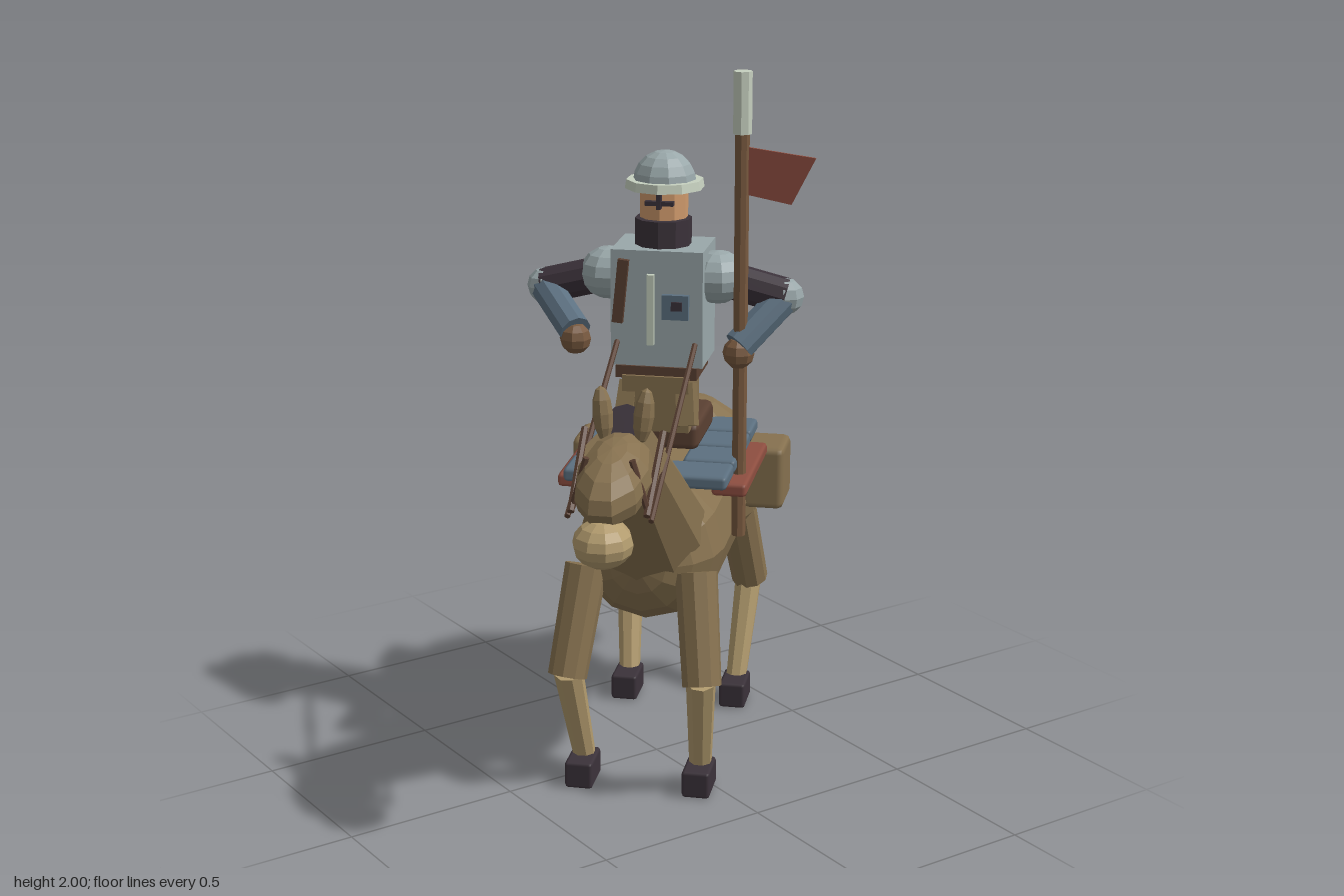
import * as THREE from 'three';
import { RoundedBoxGeometry } from 'three/addons/geometries/RoundedBoxGeometry.js';

const mat = (name, color) => {
  const m = new THREE.MeshStandardMaterial({ color });
  m.name = name;
  return m;
};

export function createModel() {
  const hide = mat('brown hide', 0x86714f);
  const tan = mat('pale tan', 0xb29b6e);
  const dark = mat('dark hair', 0x3b323a);
  const leather = mat('leather', 0x5a4032);
  const blue = mat('slate blue', 0x5c7080);
  const steel = mat('steel', 0x9aa8aa);
  const pale = mat('pale metal', 0xc6d0bf);
  const red = mat('brick red', 0x8e4e40);
  const skin = mat('skin', 0xcf9a6c);
  const wood = mat('wood', 0x78593f);
  red.side = THREE.DoubleSide;

  const model = new THREE.Group();
  model.name = 'mountedLancer';
  // everything is built facing +z, then turned
  const g = new THREE.Group();
  g.name = 'horseAndRider';
  g.rotation.y = -Math.PI / 4;
  model.add(g);

  const V = (a) => new THREE.Vector3(...a);
  const flat = (geo) => {
    const f = geo.index ? geo.toNonIndexed() : geo;
    f.computeVertexNormals();
    return f;
  };
  const add = (name, geo, material, pos = [0, 0, 0], rot = [0, 0, 0]) => {
    const m = new THREE.Mesh(geo, material);
    m.name = name;
    m.position.set(...pos);
    m.rotation.set(...rot);
    g.add(m);
    return m;
  };
  const box = (name, material, size, pos, rot) => add(name, new THREE.BoxGeometry(...size), material, pos, rot);
  const soft = (name, material, size, pos, r = 0.015, rot) =>
    add(name, new RoundedBoxGeometry(...size, 1, r), material, pos, rot);
  const ball = (name, material, radii, pos, rot, ws = 10, hs = 8) =>
    add(name, flat(new THREE.SphereGeometry(1, ws, hs).scale(...radii)), material, pos, rot);
  // tapered rod from a to b
  const rod = (name, material, a, b, ra, rb = ra, sides = 10) => {
    const p = V(a), q = V(b), d = q.clone().sub(p);
    const m = add(name, flat(new THREE.CylinderGeometry(rb, ra, d.length(), sides)), material);
    m.position.copy(p).add(q).multiplyScalar(0.5);
    m.quaternion.setFromUnitVectors(new THREE.Vector3(0, 1, 0), d.normalize());
    return m;
  };

  // horse trunk
  add('barrel', flat(new THREE.CapsuleGeometry(0.21, 0.485, 4, 12).rotateX(Math.PI / 2)), hide, [0, 0.675, -0.157]);
  ball('rump', hide, [0.235, 0.255, 0.24], [0, 0.705, -0.45], [0, 0, 0], 12, 8);
  rod('neck', hide, [0, 0.76, 0.17], [0, 1.04, 0.47], 0.17, 0.115);
  rod('mane', dark, [0, 0.93, 0.16], [0, 1.135, 0.44], 0.055);
  rod('tail', dark, [0, 0.7, -0.6], [0, 0.5, -0.765], 0.06);

  // horse head
  ball('head', hide, [0.1, 0.095, 0.19], [0, 1.025, 0.58], [0.22, 0, 0]);
  ball('muzzle', tan, [0.08, 0.065, 0.085], [0, 0.9, 0.72]);

  for (const s of [-1, 1]) {
    ball('ear', hide, [0.028, 0.075, 0.028], [s * 0.055, 1.165, 0.46], [-0.1, 0, s * -0.1], 8, 6);

    // legs: hip, knee and hoof positions along z
    for (const [n, top, knee, foot, hoof] of [
      ['front', 0.225, 0.325, 0.215, 0.24],
      ['hind', -0.44, -0.54, -0.43, -0.397],
    ]) {
      rod(n + 'UpperLeg', hide, [s * 0.155, 0.65, top], [s * 0.19, 0.355, knee], 0.06, 0.055);
      rod(n + 'LowerLeg', tan, [s * 0.187, 0.37, knee], [s * 0.168, 0.07, foot], 0.042, 0.032, 8);
      soft(n + 'Hoof', dark, [0.08, 0.08, 0.125], [s * 0.168, 0.04, hoof], 0.01);
    }

    // tack on each flank
    for (let i = 0; i < 3; i++) {
      soft('blanketPlate', blue, [0.15, 0.04, 0.135], [s * 0.155, 0.895, -0.035 - i * 0.148], 0.012);
    }
    soft('blanketTrim', red, [0.1, 0.04, 0.41], [s * 0.22, 0.845, -0.12], 0.012);
    soft('saddlebag', hide, [0.125, 0.19, 0.175], [s * 0.256, 0.75, -0.403], 0.02);

    // bridle and reins
    rod('rein', leather, [s * 0.11, 1.24, 0.01], [s * 0.11, 0.94, 0.645], 0.008, 0.008, 6);
    rod('cheekStrap', leather, [s * 0.1, 0.955, 0.65], [s * 0.105, 1.12, 0.45], 0.01, 0.01, 6);
    rod('noseStrap', leather, [s * 0.1, 0.96, 0.63], [s * 0.06, 1.1, 0.64], 0.009, 0.009, 6);
  }
  soft('blanketFrontPlate', blue, [0.46, 0.04, 0.14], [0, 0.895, 0.115], 0.012);
  box('girth', leather, [0.2, 0.03, 0.18], [0, 0.485, -0.06]);
  soft('saddle', leather, [0.23, 0.08, 0.27], [0, 0.96, -0.155], 0.02);

  // rider body
  box('hips', hide, [0.19, 0.16, 0.17], [0, 1.065, -0.065]);
  for (const s of [-1, 1]) {
    box('thigh', hide, [0.05, 0.12, 0.08], [s * 0.085, 1.06, -0.01], [-0.3, 0, s * 0.1]);
  }
  box('belt', leather, [0.23, 0.035, 0.19], [0, 1.153, -0.085]);
  box('breastplate', steel, [0.26, 0.33, 0.205], [0, 1.335, -0.1]);
  rod('collar', dark, [0, 1.49, -0.1], [0, 1.575, -0.1], 0.08);
  box('collarTab', dark, [0.04, 0.06, 0.02], [0, 1.5, -0.205]);

  // chest gear
  box('chestStrap', leather, [0.03, 0.18, 0.02], [-0.1, 1.385, 0.01], [0, 0, -0.1]);
  box('chestRod', pale, [0.02, 0.2, 0.02], [-0.015, 1.335, 0.01]);
  box('chestPouch', blue, [0.075, 0.07, 0.02], [0.055, 1.345, 0.01]);
  box('pouchClasp', dark, [0.03, 0.025, 0.008], [0.06, 1.35, 0.023]);

  // rider head and helmet
  rod('face', skin, [0, 1.57, -0.11], [0, 1.68, -0.11], 0.068);
  box('noseGuard', dark, [0.012, 0.05, 0.02], [0, 1.635, -0.035]);
  box('eyeBand', dark, [0.08, 0.012, 0.02], [0, 1.625, -0.04]);
  rod('helmetBrim', pale, [0, 1.655, -0.12], [0, 1.68, -0.12], 0.112, 0.108, 10);
  add('helmetDome', flat(new THREE.SphereGeometry(0.09, 10, 5, 0, Math.PI * 2, 0, Math.PI / 2)), steel, [0, 1.67, -0.12]);

  // arms: elbow and hand per side
  for (const [s, hand] of [[-1, [-0.224, 1.27, 0.035]], [1, [0.228, 1.235, -0.02]]]) {
    const elbow = [s * 0.345, 1.36, -0.115];
    ball('shoulderGuard', steel, [0.085, 0.075, 0.085], [s * 0.154, 1.41, -0.104]);
    rod('upperArm', dark, [s * 0.154, 1.41, -0.104], elbow, 0.052);
    ball('elbowGuard', steel, [0.052, 0.052, 0.052], elbow, [0, 0, 0], 8, 6);
    rod('forearm', blue, elbow, hand, 0.046);
    ball('hand', wood, [0.045, 0.045, 0.045], [hand[0], hand[1] - 0.02, hand[2]], [0, 0, 0], 8, 6);
  }

  // lance with pennant
  rod('lanceShaft', wood, [0.233, 0.68, -0.02], [0.233, 1.84, -0.02], 0.02, 0.02, 8);
  rod('lanceTip', pale, [0.233, 1.83, -0.02], [0.233, 2, -0.02], 0.026, 0.026, 8);
  const flag = new THREE.Shape([[0.24, 1.795], [0.435, 1.77], [0.37, 1.64], [0.24, 1.665]].map((p) => new THREE.Vector2(...p)));
  add('pennant', new THREE.ExtrudeGeometry(flag, { depth: 0.008, bevelEnabled: false }), red, [0, 0, -0.024]);

  return model;
}
